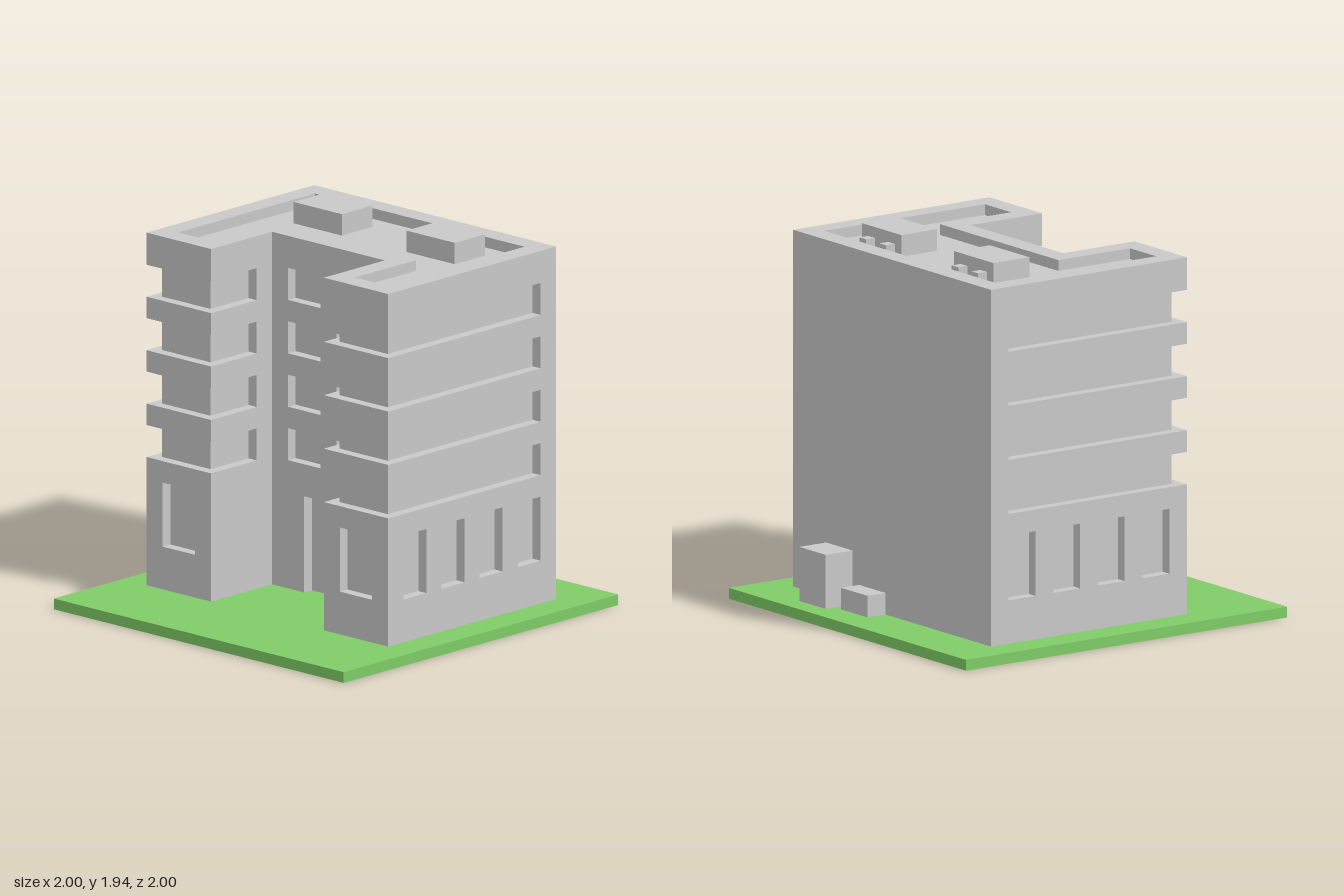
import * as THREE from 'three';

// All sizes are in grid units; the whole group is scaled so 36 units = 2.
const UNIT = 1 / 18;
const WALL_TOP = 31, ROOF = 33, PARAPET = 34;
const BANDS = [13, 18, 23, 28]; // bottoms of the upper storeys' openings, each 3 high

const rect = (x0, y0, x1, y1) => [[x0, y0], [x1, y0], [x1, y1], [x0, y1]];
const toPoints = (list) => list.map(([x, y]) => new THREE.Vector2(x, y));

function extrude(outline, holes, depth) {
  const shape = new THREE.Shape(toPoints(outline));
  for (const h of holes) shape.holes.push(new THREE.Path(toPoints(h)));
  return new THREE.ExtrudeGeometry(shape, { depth, bevelEnabled: false });
}

// U-shaped floor plan, moved inwards by a given inset (shape y is -z)
function plan(inset) {
  const x = 15 - inset, n = 7 + inset;
  const front = -(9 - inset), back = 13 - inset, court = -(1 - inset);
  return [[-x, front], [-n, front], [-n, court], [n, court],
    [n, front], [x, front], [x, back], [-x, back]];
}

// Wall outline whose window bands are open to the front edge
function comb(front, back, bandEnd) {
  const pts = [[front, 1], [back, 1], [back, WALL_TOP]];
  for (const y of [...BANDS].reverse()) {
    if (y + 3 < WALL_TOP) pts.push([front, y + 3]);
    pts.push([bandEnd, y + 3], [bandEnd, y], [front, y]);
  }
  return pts;
}

export function createModel() {
  const concrete = new THREE.MeshStandardMaterial({ color: 0xc9c9c9 });
  concrete.name = 'concrete';
  const grass = new THREE.MeshStandardMaterial({ color: 0x7fcc67 });
  grass.name = 'grass';

  const model = new THREE.Group();
  model.name = 'apartmentBlock';
  model.scale.setScalar(UNIT);

  function add(name, geometry, material = concrete) {
    const mesh = new THREE.Mesh(geometry, material);
    mesh.name = name;
    model.add(mesh);
    return mesh;
  }
  function box(name, x0, x1, y0, y1, z0, z1, material) {
    const mesh = add(name, new THREE.BoxGeometry(x1 - x0, y1 - y0, z1 - z0), material);
    mesh.position.set((x0 + x1) / 2, (y0 + y1) / 2, (z0 + z1) / 2);
  }
  const slab = (name, outline, holes, y0, y1) =>
    add(name, extrude(outline, holes, y1 - y0).rotateX(-Math.PI / 2).translate(0, y0, 0));
  const frontPanel = (name, outline, holes, z) =>
    add(name, extrude(outline, holes, 1).translate(0, 0, z));
  const sidePanel = (name, outline, holes, x) =>
    add(name, extrude(outline, holes, 1).rotateY(Math.PI / 2).translate(x, 0, 0));

  // Lawn, inner core seen through the openings, roof and parapet
  box('lawn', -18, 18, 0, 1, -18, 18, grass);
  slab('core', plan(1), [], 1, WALL_TOP);
  slab('roof', plan(2), [], WALL_TOP, ROOF);
  slab('parapet', plan(0), [plan(2)], WALL_TOP, PARAPET);
  box('backWall', -14, 14, 1, WALL_TOP, -13, -12);

  // Courtyard wall with the doorway and a grid of windows
  const doorway = [[-8, 1], [-3, 1], [-3, 10], [3, 10], [3, 1], [8, 1], [8, WALL_TOP], [-8, WALL_TOP]];
  const windows = BANDS.flatMap((y) => [rect(-5, y, -1, y + 3), rect(1, y, 5, y + 3)]);
  frontPanel('courtyardWall', doorway, windows, 0);

  // Outer and courtyard sides of both wings
  const groundWindows = [-7, -2, 3, 8].map((s) => rect(s, 5, s + 3, 11));
  for (const [side, outerX, innerX] of [['left', 14, 7], ['right', -15, -8]]) {
    sidePanel(side + 'OuterWall', comb(-9, 13, 11), groundWindows, outerX);
    sidePanel(side + 'WingInnerWall', comb(-9, -1, -3), [], innerX);
  }

  // Wing fronts, balcony bands, and rooftop units
  for (const [side, x, roofX] of [['left', 8, 4], ['right', -14, -10]]) {
    const w = side === 'left' ? 9 : -13;
    frontPanel(side + 'WingFront', rect(x, 1, x + 6, 13), [rect(w, 5, w + 4, 11)], 8);
    for (const y of BANDS.slice(0, 3)) {
      box(side + 'FrontBand', x, x + 6, y + 3, y + 5, 8, 9);
    }
    box(side + 'RoofUnit', roofX, roofX + 6, ROOF, 35, -9, -5);
    for (const dx of [1, 4]) {
      box(side + 'RoofVent', roofX + dx, roofX + dx + 1, ROOF, PARAPET, -10, -9);
    }
  }

  // Service boxes against the back wall
  box('tallServiceBox', 6, 10, 1, 6, -16, -13);
  box('lowServiceBox', 1, 5, 1, 3, -15, -13);

  return model;
}
